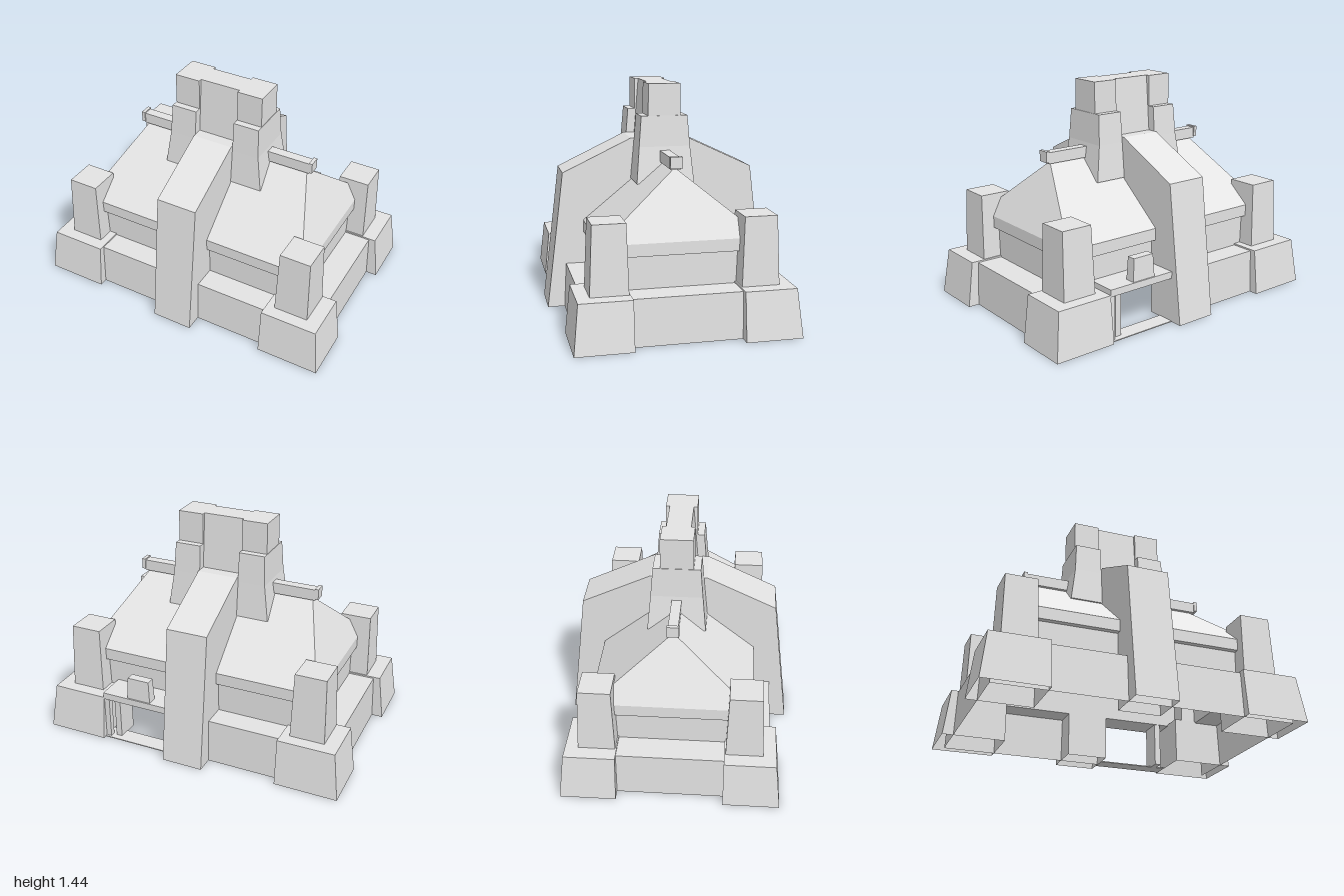
import * as THREE from 'three';

const stone = new THREE.MeshStandardMaterial({ color: 0xe4e4e4, flatShading: true, side: THREE.DoubleSide });
stone.name = 'pale stone';

// Hollow block lofted through rectangles [y, x0, x1, z0, z1]; open underneath.
// skip lists side faces to leave out: 0 front, 1 right (+x), 2 back, 3 left (-x)
function loft(name, rings, { cap = true, floor = false, skip = [], mx = 1, mz = 1 } = {}) {
  const pos = [];
  const corners = rings.map(([y, a, b, c, d]) => {
    const x0 = Math.min(a * mx, b * mx), x1 = Math.max(a * mx, b * mx);
    const z0 = Math.min(c * mz, d * mz), z1 = Math.max(c * mz, d * mz);
    return [[x0, y, z1], [x1, y, z1], [x1, y, z0], [x0, y, z0]];
  });
  const quad = (a, b, c, d) => pos.push(...a, ...b, ...c, ...a, ...c, ...d);
  for (let r = 0; r < corners.length - 1; r++) {
    const lo = corners[r], hi = corners[r + 1];
    for (let i = 0; i < 4; i++) {
      if (skip.includes(i)) continue;
      const j = (i + 1) % 4;
      quad(lo[i], lo[j], hi[j], hi[i]);
    }
  }
  if (cap) quad(...corners[corners.length - 1]);
  if (floor) quad(...[...corners[0]].reverse());
  const geo = new THREE.BufferGeometry();
  geo.setAttribute('position', new THREE.Float32BufferAttribute(pos, 3));
  geo.computeVertexNormals();
  const mesh = new THREE.Mesh(geo, stone);
  mesh.name = name;
  return mesh;
}

// Closed straight block given by its limits
function block(name, x0, x1, y0, y1, z0, z1, mx = 1) {
  return loft(name, [[y0, x0, x1, z0, z1], [y1, x0, x1, z0, z1]], { floor: true, mx });
}

export function createModel() {
  const model = new THREE.Group();
  model.name = 'fortified hall';
  const add = (...parts) => model.add(...parts);

  // Lower storey: hollow shell, with the back wall left open at the doorway
  add(loft('lowerWalls', [[0, -0.93, 0.93, -0.615, 0.62], [0.285, -0.92, 0.92, -0.605, 0.605]], { skip: [2], cap: false }));
  add(loft('backWall', [[0, -0.93, 0.13, -0.615, -0.6], [0.285, -0.92, 0.13, -0.605, -0.6]], { skip: [0, 1, 3], cap: false }));

  // Ledge stepping in to the upper storey, open inside
  add(loft('ledgeAndUpperWalls', [
    [0.285, -0.92, 0.92, -0.605, 0.605],
    [0.285, -0.75, 0.75, -0.455, 0.455],
    [0.49, -0.75, 0.75, -0.455, 0.455],
  ], { cap: false }));

  // Hipped roof with an upright eaves band; its underside is the ceiling
  add(loft('roof', [
    [0.49, -0.785, 0.785, -0.49, 0.49],
    [0.566, -0.785, 0.785, -0.49, 0.49],
    [0.963, -0.572, 0.572, 0, 0],
  ], { cap: false, floor: true }));

  // Corner bastions with pillars
  for (const mx of [1, -1]) {
    for (const mz of [1, -1]) {
      const m = { mx, mz };
      add(loft('cornerBase', [[0, 0.6, 1, 0.327, 0.673], [0.295, 0.6, 0.963, 0.327, 0.642]], m));
      add(loft('cornerPillar', [[0.295, 0.652, 0.872, 0.335, 0.563], [0.713, 0.664, 0.862, 0.348, 0.545]], m));
    }
  }

  // Sloping buttress piers, front and back
  for (const mz of [1, -1]) {
    add(loft('pier', [
      [0, -0.133, 0.133, 0.455, 0.727],
      [0.57, -0.133, 0.133, 0.455, 0.655],
      [0.875, -0.133, 0.133, 0.07, 0.617],
      [1.083, -0.133, 0.133, 0.07, 0.178],
    ], { mz }));
  }

  // Tower: recessed core between two stepped wings
  add(loft('towerCore', [[0.825, -0.133, 0.133, -0.12, 0.12], [1.08, -0.133, 0.133, -0.105, 0.105], [1.437, -0.133, 0.133, -0.076, 0.076]]));
  for (const mx of [1, -1]) {
    add(loft('towerWingLower', [[0.825, 0.133, 0.343, -0.182, 0.182], [1.05, 0.133, 0.312, -0.161, 0.161], [1.24, 0.133, 0.303, -0.146, 0.146]], { mx, floor: true }));
    add(loft('towerWingUpper', [[1.24, 0.133, 0.3, -0.102, 0.102], [1.437, 0.133, 0.3, -0.1, 0.1]], { mx }));
    // Ridge beam with its end block
    add(block('ridgeBeam', 0.28, 0.6, 0.955, 1.026, -0.031, 0.031, mx));
    add(block('ridgeBeamEnd', 0.597, 0.62, 0.965, 1.034, -0.037, 0.037, mx));
  }

  // Back doorway: lintel, ornament, jamb posts and sill
  add(block('doorLintel', 0.133, 0.6, 0.286, 0.33, -0.645, -0.455));
  add(loft('lintelStone', [[0.33, 0.264, 0.426, -0.636, -0.57], [0.475, 0.272, 0.418, -0.63, -0.574]]));
  add(block('outerPost', 0.565, 0.6, 0, 0.286, -0.635, -0.6));
  add(block('innerJamb', 0.5, 0.54, 0, 0.286, -0.61, -0.46));
  add(block('doorSill', 0.133, 0.6, 0, 0.006, -0.65, -0.54));

  return model;
}
